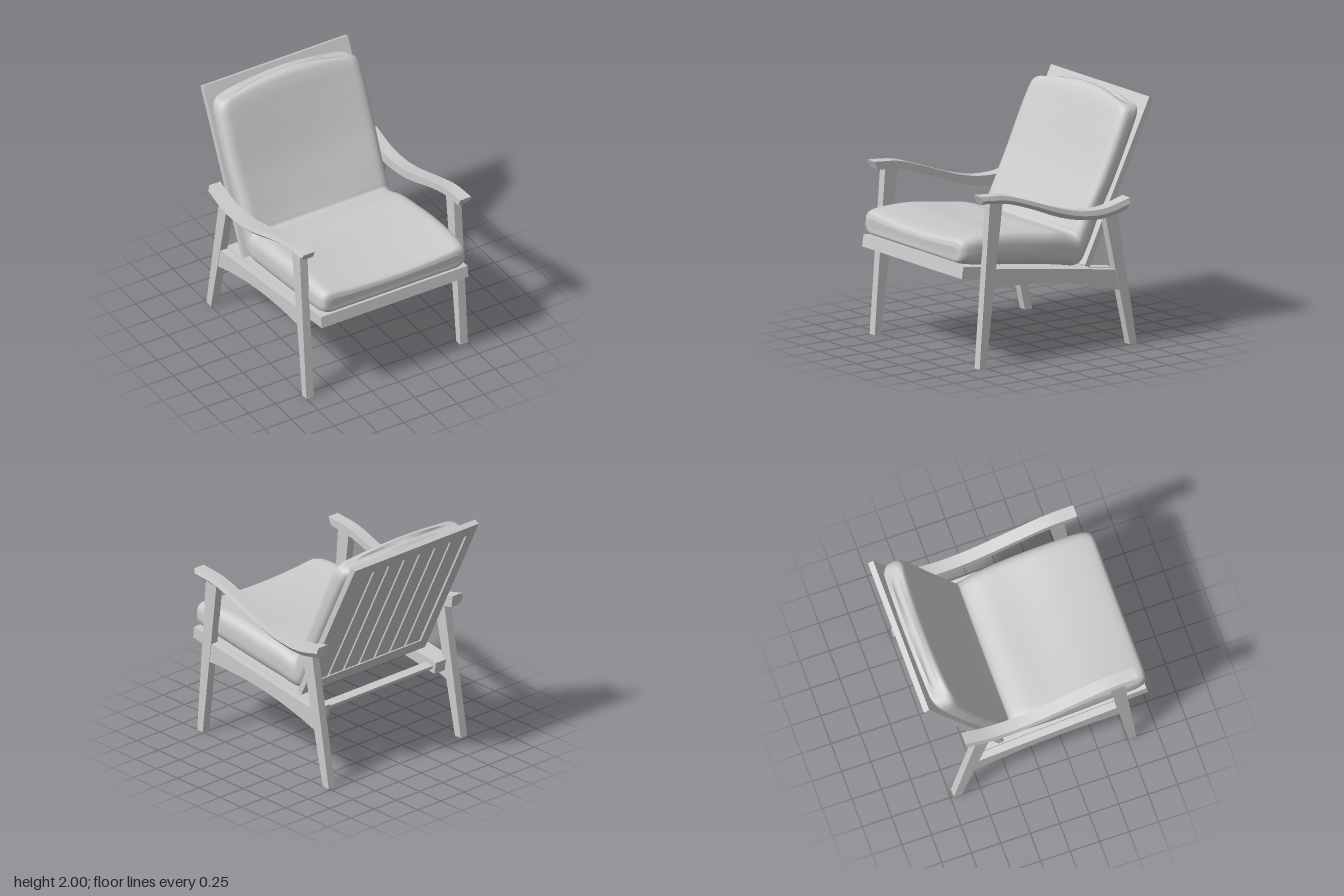
import * as THREE from 'three';
import { toCreasedNormals } from 'three/addons/utils/BufferGeometryUtils.js';

const material = new THREE.MeshStandardMaterial({ color: 0xcccccc });

function add(parent, name, geometry) {
  const mesh = new THREE.Mesh(geometry, material);
  mesh.name = name;
  parent.add(mesh);
  return mesh;
}

// Box given by its limits on each axis
function box(parent, name, x0, x1, y0, y1, z0, z1) {
  const g = new THREE.BoxGeometry(x1 - x0, y1 - y0, z1 - z0);
  g.translate((x0 + x1) / 2, (y0 + y1) / 2, (z0 + z1) / 2);
  return add(parent, name, g);
}

// Board with a side profile in (z, y), running from x0 to x1
function board(parent, name, shape, x0, x1) {
  const g = new THREE.ExtrudeGeometry(shape, { depth: x1 - x0, bevelEnabled: false, curveSegments: 16 });
  g.rotateY(-Math.PI / 2);
  g.translate(x1, 0, 0);
  return add(parent, name, g);
}

const polygon = (pts) => new THREE.Shape(pts.map(([z, y]) => new THREE.Vector2(z, y)));

// Closed skin over a row of cross-section loops, with both ends capped
function loft(sections) {
  const n = sections[0].length;
  const last = sections.length - 1;
  const points = sections.flat();
  const index = [];
  for (let i = 0; i < last; i++) {
    for (let j = 0; j < n; j++) {
      const a = i * n + j, b = i * n + (j + 1) % n;
      index.push(a, b, b + n, a, b + n, a + n);
    }
  }
  for (const i of [0, last]) {
    const centre = new THREE.Vector3();
    sections[i].forEach((p) => centre.addScaledVector(p, 1 / n));
    const c = points.push(centre) - 1;
    for (let j = 0; j < n; j++) {
      const a = i * n + j, b = i * n + (j + 1) % n;
      index.push(c, ...(i === 0 ? [b, a] : [a, b]));
    }
  }
  const g = new THREE.BufferGeometry().setFromPoints(points);
  g.setIndex(index);
  g.computeVertexNormals();
  return g;
}

const curve = (pts) => new THREE.CatmullRomCurve3(pts.map((p) => new THREE.Vector3(...p)));

// Curved armrest with an undercut outer edge; s is the side
function armrest(parent, name, s) {
  const top = curve([[0, 1.22, -0.635], [0, 1.165, -0.4], [0, 1.17, -0.18], [0, 1.22, 0.035],
    [0, 1.33, 0.35], [0, 1.405, 0.59], [0, 1.43, 0.83]]);
  const bottom = curve([[0, 1.12, -0.62], [0, 1.077, -0.4], [0, 1.093, -0.18], [0, 1.145, 0.035],
    [0, 1.267, 0.35], [0, 1.333, 0.565], [0, 1.363, 0.80]]);
  const profile = [[0.68, 0], [0.76, 0], [0.795, 0.5], [0.782, 1], [0.68, 1]];
  const sections = [];
  for (let i = 0; i <= 30; i++) {
    const b = bottom.getPoint(i / 30), t = top.getPoint(i / 30);
    const loop = profile.map(([x, f]) => b.clone().lerp(t, f).setX(s * x));
    sections.push(s > 0 ? loop : loop.reverse());
  }
  add(parent, name, toCreasedNormals(loft(sections), 0.5));
}

// One-piece padded cushion bent into seat and back
function cushion(parent) {
  // underside: half width, y, z
  const under = curve([[0.60, 0.93, 0.945], [0.655, 0.875, 0.94], [0.68, 0.857, 0.90], [0.69, 0.81, 0.60],
    [0.69, 0.755, 0.2], [0.68, 0.72, -0.02], [0.66, 0.69, -0.25], [0.66, 0.82, -0.34], [0.66, 1.08, -0.46],
    [0.67, 1.33, -0.585], [0.67, 1.69, -0.755], [0.65, 1.88, -0.845], [0.60, 1.95, -0.87], [0.50, 1.985, -0.84]]);
  // padded side: sag at the middle, y, z
  const upper = curve([[0.02, 1.0, 0.95], [0.04, 1.055, 0.93], [0.045, 1.075, 0.87], [0.05, 1.08, 0.52],
    [0.04, 1.035, 0.2], [0.02, 1.0, -0.02], [0, 0.95, -0.2], [0.01, 0.995, -0.225], [0.025, 1.17, -0.31],
    [0.03, 1.4, -0.43], [0.02, 1.77, -0.60], [0.01, 1.93, -0.68], [0, 1.985, -0.73], [0, 2.0, -0.78]]);
  // rounded rectangle, later scaled to each station
  const w = 0.69, h = 0.125, r = 0.09;
  const outline = new THREE.Path();
  outline.moveTo(0, -h);
  outline.absarc(w - r, r - h, r, -Math.PI / 2, 0);
  outline.absarc(w - r, h - r, r, 0, Math.PI / 2);
  outline.absarc(r - w, h - r, r, Math.PI / 2, Math.PI);
  outline.absarc(r - w, r - h, r, Math.PI, Math.PI * 1.5);
  outline.closePath();
  const loop = outline.getSpacedPoints(110).slice(0, -1);
  const rows = 78;
  const sections = [];
  for (let i = rows; i >= 0; i--) {
    const b = under.getPoint(i / rows), t = upper.getPoint(i / rows);
    const thickness = Math.hypot(t.y - b.y, t.z - b.z);
    const crown = 0.06 * THREE.MathUtils.smoothstep(i / rows, 0.75, 1);
    sections.push(loop.map((p) => {
      const f = (p.y + h) / (2 * h), k = p.x / w;
      const q = b.clone().lerp(t, f * (1 - t.x * (1 - k * k) / Math.max(thickness, 0.08)));
      return new THREE.Vector3(k * b.x, q.y - crown * k * k, q.z + crown * 0.45 * k * k);
    }));
  }
  add(parent, 'cushion', loft(sections));
}

export function createModel() {
  const model = new THREE.Group();
  model.name = 'armchair';

  const frontLeg = polygon([[0.76, 0], [0.825, 0], [0.72, 1.38], [0.597, 1.36]]);
  const rearLeg = polygon([[-0.725, 0], [-0.655, 0], [-0.41, 1.11], [-0.53, 1.11]]);

  // Arched rail between the legs
  const apron = new THREE.Shape();
  apron.moveTo(0.69, 0.645);
  apron.lineTo(0.66, 0.81);
  apron.lineTo(-0.52, 0.637);
  apron.lineTo(-0.56, 0.458);
  apron.bezierCurveTo(-0.2, 0.58, 0.2, 0.66, 0.69, 0.645);

  for (const s of [1, -1]) {
    const side = s > 0 ? 'left' : 'right';
    const x0 = s > 0 ? 0.685 : -0.755, x1 = x0 + 0.07;
    board(model, side + 'FrontLeg', frontLeg, x0, x1);
    board(model, side + 'RearLeg', rearLeg, x0, x1);
    board(model, side + 'Apron', apron, x0 + 0.004, x1 - 0.004);
    armrest(model, side + 'Armrest', s);
  }

  // Sloping seat frame with cross slats
  const seat = new THREE.Group();
  seat.name = 'seatFrame';
  seat.position.set(0, 0.85, 0.935);
  seat.rotation.x = -0.144;
  model.add(seat);
  box(seat, 'frontRail', -0.685, 0.685, -0.1, 0, -0.1, 0);
  box(seat, 'leftSeatRail', 0.575, 0.685, -0.1, 0, -1.5, -0.1);
  box(seat, 'rightSeatRail', -0.685, -0.575, -0.1, 0, -1.5, -0.1);
  box(seat, 'rearBar', -0.575, 0.575, -0.065, -0.04, -1.47, -1.39);
  for (let i = 0; i < 7; i++) {
    const z = -0.2 - i * 0.14;
    box(seat, 'seatSlat', -0.575, 0.575, -0.06, -0.035, z - 0.05, z + 0.05);
  }

  // Reclined back frame with upright slats
  const back = new THREE.Group();
  back.name = 'backFrame';
  back.position.set(0, 0.69, -0.27);
  back.rotation.x = -0.454;
  model.add(back);
  box(back, 'leftStile', 0.585, 0.675, 0, 1.447, -0.05, 0);
  box(back, 'rightStile', -0.675, -0.585, 0, 1.447, -0.05, 0);
  box(back, 'topRail', -0.585, 0.585, 1.337, 1.447, -0.05, 0);
  box(back, 'bottomRail', -0.585, 0.585, 0, 0.11, -0.05, 0);
  for (let i = 0; i < 7; i++) {
    const x = (i - 3) * 0.167;
    box(back, 'backSlat', x - 0.073, x + 0.073, 0.11, 1.337, -0.04, -0.01);
  }

  cushion(model);
  return model;
}
